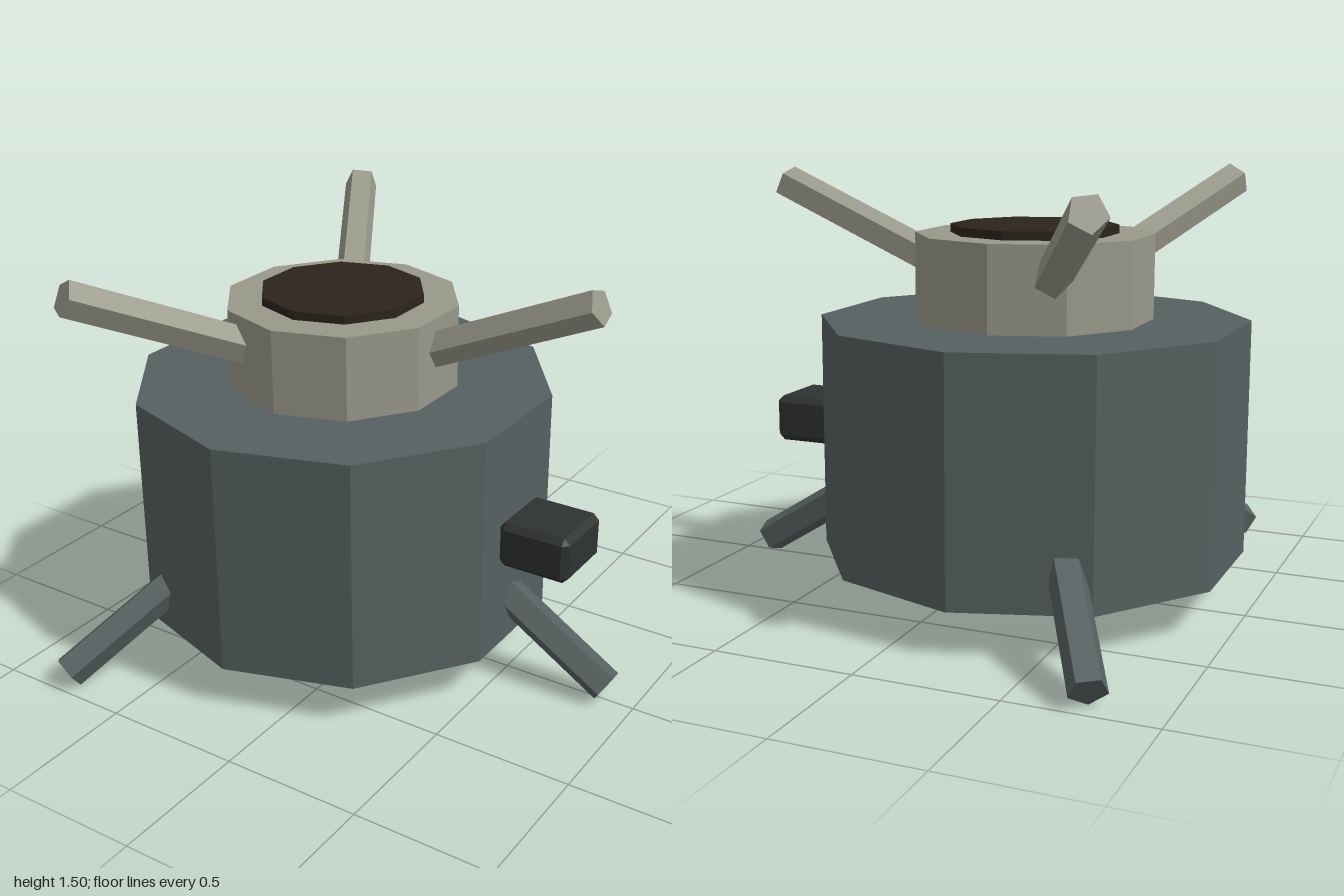
import * as THREE from 'three';
import { ConvexGeometry } from 'three/addons/geometries/ConvexGeometry.js';

const CENTRE_X = -0.21;

const paint = (color) => new THREE.MeshStandardMaterial({ color, flatShading: true });

// Ten-sided drum standing between two heights
function drum(name, radius, bottom, top, material) {
  const mesh = new THREE.Mesh(new THREE.CylinderGeometry(radius, radius, top - bottom, 10), material);
  mesh.name = name;
  mesh.position.set(CENTRE_X, (bottom + top) / 2, 0);
  return mesh;
}

// Five-sided rod joining two points
function rod(name, start, end, radius, material) {
  const along = end.clone().sub(start);
  const mesh = new THREE.Mesh(new THREE.CylinderGeometry(radius, radius, along.length(), 5), material);
  mesh.name = name;
  mesh.position.copy(start).add(end).multiplyScalar(0.5);
  mesh.quaternion.setFromUnitVectors(new THREE.Vector3(0, 1, 0), along.normalize());
  return mesh;
}

// Box with every edge cut off at 45 degrees
function chamferedBox(w, h, d, cut) {
  const points = [];
  for (const x of [-1, 1]) for (const y of [-1, 1]) for (const z of [-1, 1]) {
    for (let axis = 0; axis < 3; axis++) {
      const inset = [0, 1, 2].map((i) => (i === axis ? 0 : cut));
      points.push(new THREE.Vector3(
        x * (w / 2 - inset[0]), y * (h / 2 - inset[1]), z * (d / 2 - inset[2])));
    }
  }
  return new ConvexGeometry(points);
}

export function createModel() {
  const model = new THREE.Group();
  const dark = paint(0x566060);
  const pale = paint(0x98988a);

  // Body, collar and lid
  model.add(drum('body', 0.76, 0.16, 1.0, dark));
  model.add(drum('collar', 0.42, 1.0, 1.3, pale));
  model.add(drum('lid', 0.295, 1.3, 1.33, paint(0x2c231c)));

  // Block on the side of the body
  const block = new THREE.Mesh(chamferedBox(0.265, 0.17, 0.265, 0.022), paint(0x2f3232));
  block.name = 'sideBlock';
  block.position.set(0.643, 0.575, 0);
  model.add(block);

  // Three arms rising from the collar and three legs splayed from the body
  for (let i = 0; i < 3; i++) {
    const angle = (i * Math.PI * 2) / 3;
    const at = (reach, y) => new THREE.Vector3(
      CENTRE_X + Math.cos(angle) * reach, y, Math.sin(angle) * reach);
    model.add(rod('arm' + (i + 1), at(0.31, 1.15), at(0.993, 1.45), 0.065, pale));
    model.add(rod('leg' + (i + 1), at(0.61, 0.37), at(1.103, 0.0615), 0.065, dark));
  }
  return model;
}
